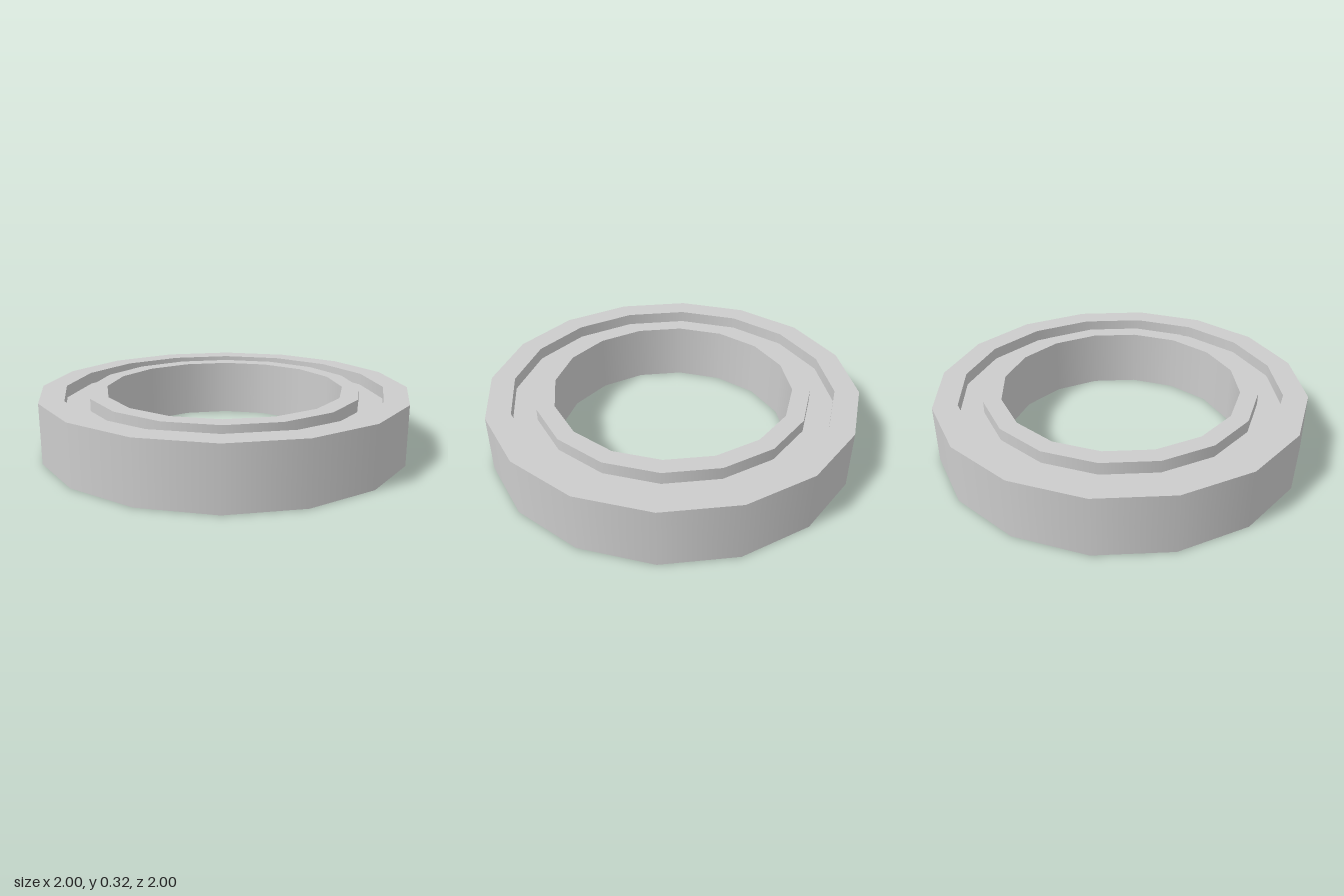
import * as THREE from 'three';
import { mergeGeometries } from 'three/addons/utils/BufferGeometryUtils.js';

const SIDES = 16;
const TURN = -0.03; // slight rotation of the polygon about the axis
const HEIGHT = 0.32;
const RECESS = 0.065;
const R = { outer: 1, grooveOuter: 0.87, grooveInner: 0.74, bore: 0.645 };

// Each profile edge is its own lathe: smooth around the axis, sharp at the corners
function turned(edges) {
  return mergeGeometries(edges.map(pair => new THREE.LatheGeometry(
    pair.map(([r, y]) => new THREE.Vector2(r, y)), SIDES, TURN, Math.PI * 2)));
}

export function createModel() {
  const group = new THREE.Group();
  const steel = new THREE.MeshStandardMaterial({ color: 0xcccccc });
  const low = RECESS, high = HEIGHT - RECESS;

  const add = (name, edges) => {
    const mesh = new THREE.Mesh(turned(edges), steel);
    mesh.name = name;
    group.add(mesh);
  };

  // Outer race: outside wall, two rims and the exposed groove walls
  add('outerRace', [
    [[R.outer, 0], [R.outer, HEIGHT]],
    [[R.outer, HEIGHT], [R.grooveOuter, HEIGHT]],
    [[R.grooveOuter, HEIGHT], [R.grooveOuter, high]],
    [[R.grooveOuter, low], [R.grooveOuter, 0]],
    [[R.grooveOuter, 0], [R.outer, 0]],
  ]);

  // Inner race: bore wall, two rims and the exposed groove walls
  add('innerRace', [
    [[R.grooveInner, high], [R.grooveInner, HEIGHT]],
    [[R.grooveInner, HEIGHT], [R.bore, HEIGHT]],
    [[R.bore, HEIGHT], [R.bore, 0]],
    [[R.bore, 0], [R.grooveInner, 0]],
    [[R.grooveInner, 0], [R.grooveInner, low]],
  ]);

  // Recessed shields between the races
  add('topShield', [[[R.grooveOuter, high], [R.grooveInner, high]]]);
  add('bottomShield', [[[R.grooveInner, low], [R.grooveOuter, low]]]);

  return group;
}
